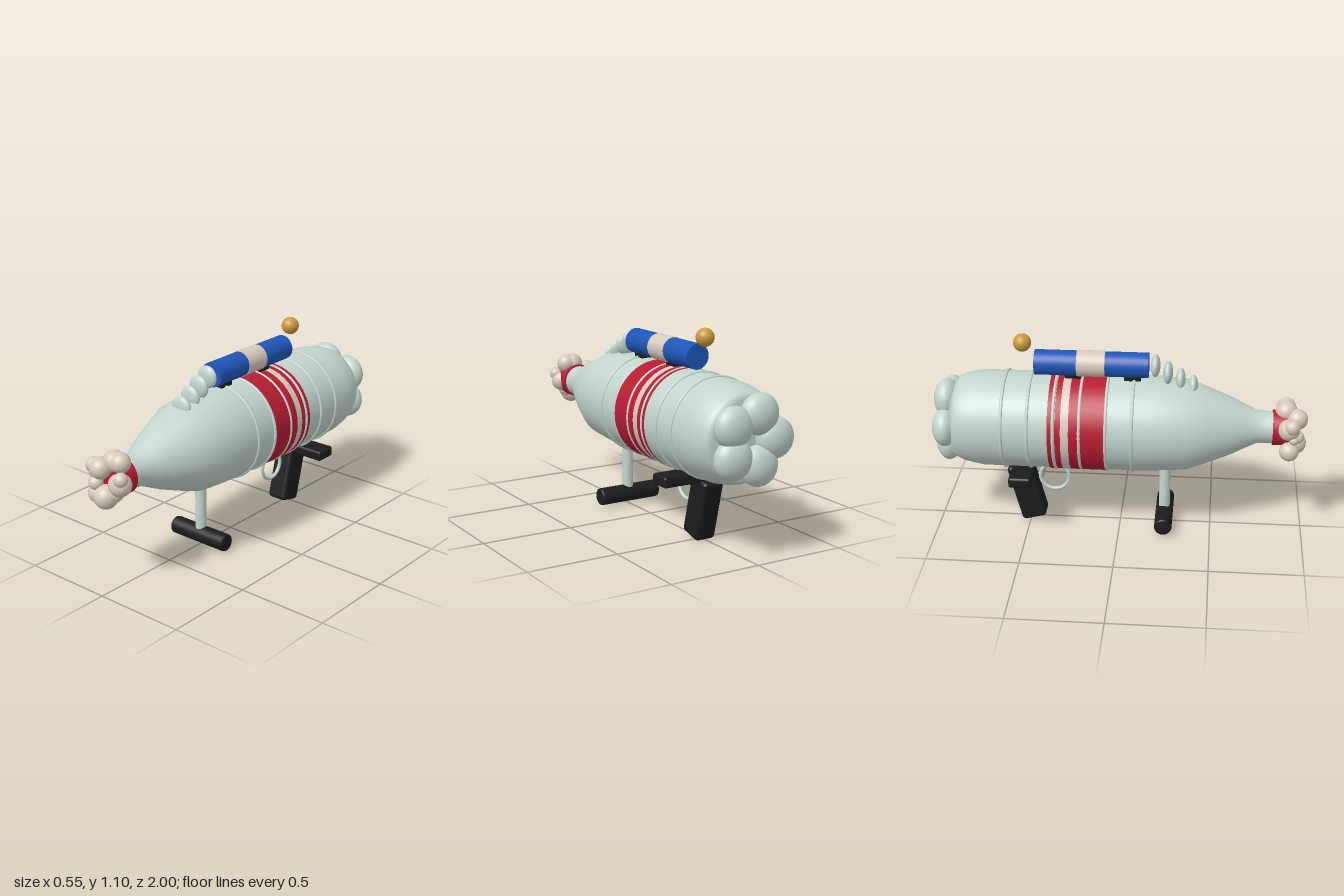
import * as THREE from 'three';
import { RoundedBoxGeometry } from 'three/addons/geometries/RoundedBoxGeometry.js';

const paint = (name, color) => {
  const m = new THREE.MeshStandardMaterial({ color });
  m.name = name;
  return m;
};

export function createModel() {
  const model = new THREE.Group();
  model.name = 'bottleLauncher';
  const green = paint('paleGreen', 0xc3d5cd);
  const red = paint('red', 0xb81c32);
  const cream = paint('cream', 0xd8cabc);
  const blue = paint('blue', 0x1e56b8);
  const gold = paint('gold', 0xc99a3c);
  const black = paint('black', 0x1c1c1c);
  const axisY = 0.615;

  const add = (name, geometry, material, x, y, z) => {
    const mesh = new THREE.Mesh(geometry, material);
    mesh.name = name;
    mesh.position.set(x, y, z);
    model.add(mesh);
    return mesh;
  };
  // cylinder lying along z between two depths
  const tube = (name, r, z0, z1, y, material, open = false) =>
    add(name, new THREE.CylinderGeometry(r, r, z1 - z0, 48, 1, open).rotateX(Math.PI / 2),
      material, 0, y, (z0 + z1) / 2);
  const ball = (name, r, material, x, y, z, flat = 1) => {
    const mesh = add(name, new THREE.SphereGeometry(r, 32, 20), material, x, y, z);
    mesh.scale.z = flat;
    return mesh;
  };

  // bottle body: radius and depth from base to neck
  const profile = [
    [0, -0.9], [0.2, -0.9], [0.225, -0.87], [0.238, -0.84], [0.25, -0.79], [0.26, -0.73],
    [0.26, -0.4], [0.26, 0.09], [0.256, 0.2], [0.245, 0.36], [0.205, 0.47], [0.153, 0.6],
    [0.118, 0.67], [0.09, 0.73], [0.086, 0.78], [0.086, 0.84]
  ].map(([r, z]) => new THREE.Vector2(r, z));
  add('bottle', new THREE.LatheGeometry(profile, 64).rotateX(Math.PI / 2), green, 0, axisY, 0);

  // five bulges on the bottle base
  for (let i = 0; i < 5; i++) {
    const a = Math.PI + i * Math.PI * 0.4;
    ball('baseBulge', 0.105, green, 0.135 * Math.cos(a), axisY + 0.135 * Math.sin(a), -0.93, 0.667);
  }

  // raised ribs around the body
  for (let i = 0; i < 6; i++) {
    add('bodyRib', new THREE.TorusGeometry(0.26, 0.009, 10, 64), green, 0, axisY, 0.075 - i * 0.1375);
  }

  // painted label bands
  for (const [z0, z1, m] of [
    [-0.255, -0.065, red], [-0.297, -0.255, cream], [-0.327, -0.297, red], [-0.367, -0.343, red]
  ]) tube('labelBand', 0.264, z0, z1, axisY, m, true);

  // cap and foam bubbles at the mouth
  tube('cap', 0.095, 0.815, 0.92, axisY, red);
  for (const [x, y, z, r] of [
    [0.005, 0.71, 0.885, 0.058], [0.047, 0.713, 0.885, 0.053], [-0.11, 0.67, 0.915, 0.041],
    [-0.033, 0.683, 0.943, 0.056], [0.09, 0.648, 0.93, 0.038], [0.065, 0.608, 0.91, 0.06],
    [-0.094, 0.52, 0.905, 0.052], [-0.01, 0.532, 0.935, 0.063], [-0.067, 0.595, 0.945, 0.037],
    [-0.107, 0.592, 0.925, 0.025], [-0.08, 0.64, 0.9, 0.058], [0.03, 0.56, 0.915, 0.05]
  ]) ball('foamBubble', r, cream, x, y, z);

  // sighting tube with a cream band, mounts and rear bead
  tube('sightTube', 0.067, -0.455, 0.15, 0.952, blue);
  tube('sightBand', 0.07, -0.23, -0.08, 0.952, cream);
  for (const z of [0.065, -0.25]) {
    add('sightMount', new RoundedBoxGeometry(0.07, 0.06, 0.09, 3, 0.012), black, 0, 0.885, z);
  }
  ball('rearBead', 0.048, gold, 0, 1.06, -0.52);

  // row of flattened discs stepping down the shoulder
  for (let i = 0; i < 4; i++) {
    ball('shoulderDisc', 0.061, green, 0, 0.952 - i * 0.037, 0.185 + i * 0.067, 0.43);
  }

  // front post with cross grip
  add('frontPost', new THREE.CylinderGeometry(0.03, 0.03, 0.3, 32), green, 0, 0.235, 0.245);
  const grip = new THREE.LatheGeometry([
    [0, -0.182], [0.038, -0.182], [0.045, -0.179], [0.048, -0.172],
    [0.048, 0.172], [0.045, 0.179], [0.038, 0.182], [0, 0.182]
  ].map(([r, y]) => new THREE.Vector2(r, y)), 32).rotateZ(Math.PI / 2);
  add('frontGrip', grip, black, 0, 0.066, 0.245);

  // trigger ring, leaning rear grip and cross bar
  add('triggerRing', new THREE.TorusGeometry(0.08, 0.01, 12, 48).rotateY(Math.PI / 2), green, 0, 0.265, -0.365);
  const rearGrip = add('rearGrip', new RoundedBoxGeometry(0.12, 0.335, 0.138, 4, 0.022), black, 0, 0.182, -0.517);
  rearGrip.rotation.x = -0.25;
  add('crossBar', new RoundedBoxGeometry(0.545, 0.058, 0.122, 3, 0.014), black, 0, 0.357, -0.52);

  return model;
}
